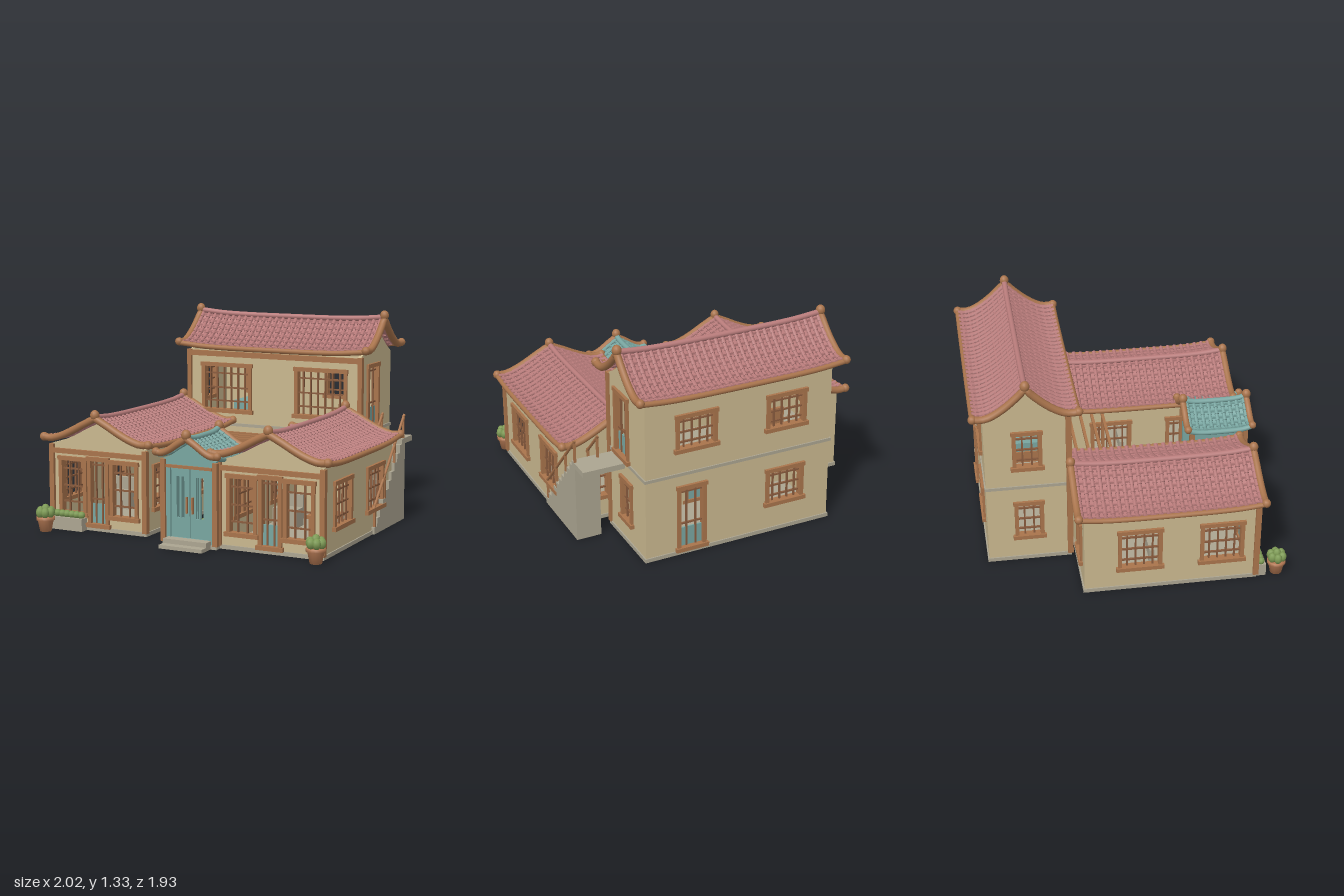
import * as THREE from 'three';
import { mergeGeometries } from 'three/addons/utils/BufferGeometryUtils.js';

const mat = (name, color, side = THREE.FrontSide) => {
  const m = new THREE.MeshStandardMaterial({ color, side });
  m.name = name;
  return m;
};
const M = {
  plaster: mat('plaster', 0xcab88f), wood: mat('wood', 0xa9744c), darkWood: mat('dark wood', 0x8a5c3e),
  tile: mat('rose tile', 0xb97c7b, THREE.DoubleSide), teal: mat('teal tile', 0x79a6a1, THREE.DoubleSide),
  stone: mat('stone', 0xaca591), lawn: mat('lawn', 0x8f9c57), leaf: mat('leaf', 0x7d9a54),
  clay: mat('clay', 0xb67a54),
};
const PI = Math.PI, T = 0.025;

function add(parent, name, geo, material, x = 0, y = 0, z = 0) {
  const m = new THREE.Mesh(geo, material);
  m.name = name;
  m.position.set(x, y, z);
  parent.add(m);
  return m;
}
// Box given by its minimum and maximum on each axis
const box = (p, name, material, x0, x1, y0, y1, z0, z1) =>
  add(p, name, new THREE.BoxGeometry(x1 - x0, y1 - y0, z1 - z0), material, (x0 + x1) / 2, (y0 + y1) / 2, (z0 + z1) / 2);
const group = (p, name) => {
  const g = new THREE.Group();
  g.name = name;
  p.add(g);
  return g;
};

// Framed opening with lattice; a door also gets a lower panel
function joinery(p, o) {
  const g = group(p, o.door ? 'door' : 'window');
  const { u, w, y0, y1 } = o, a = u - w / 2, b = u + w / 2, f = 0.018;
  box(g, 'jamb', M.wood, a - 0.006, a + f, y0, y1, -T - 0.005, 0.014);
  box(g, 'jamb', M.wood, b - f, b + 0.006, y0, y1, -T - 0.005, 0.014);
  box(g, 'lintel', M.wood, a - 0.012, b + 0.012, y1 - f, y1 + 0.008, -T - 0.005, 0.018);
  box(g, 'sill', M.wood, a - 0.018, b + 0.018, y0 - 0.008, y0 + f, -T - 0.005, 0.024);
  const n = Math.max(3, Math.round(w / 0.055));
  for (let i = 1; i < n; i++) {
    const x = a + (w * i) / n;
    box(g, 'bar', M.darkWood, x - 0.005, x + 0.005, y0, y1, -0.016, -0.004);
  }
  for (const k of o.door ? [0.4, 0.9] : [0.22, 0.5, 0.8]) {
    const y = y0 + (y1 - y0) * k;
    box(g, 'rail', M.darkWood, a, b, y - 0.005, y + 0.005, -0.018, -0.006);
  }
  if (o.door) box(g, 'panel', M.teal, a + f, b - f, y0 + f, y0 + (y1 - y0) * 0.33, -0.02, -0.01);
}

// Wall facing local +z, with holes and an optional gable top
function wall(p, name, w, h, material, openings, profile) {
  const g = group(p, name), s = new THREE.Shape();
  s.moveTo(-w / 2, 0).lineTo(w / 2, 0).lineTo(w / 2, h);
  if (profile) {
    const inner = profile.filter(([d]) => d < w / 2 - 0.02);
    [...inner].reverse().forEach(([d, y]) => s.lineTo(d, y - 0.012));
    inner.slice(1).forEach(([d, y]) => s.lineTo(-d, y - 0.012));
  }
  s.lineTo(-w / 2, h);
  for (const o of openings) {
    const a = o.u - o.w / 2, b = o.u + o.w / 2;
    s.holes.push(new THREE.Path().moveTo(a, o.y0).lineTo(a, o.y1).lineTo(b, o.y1).lineTo(b, o.y0).closePath());
    if (!o.plain) joinery(g, o);
  }
  const geo = new THREE.ExtrudeGeometry(s, { depth: T, bevelEnabled: false });
  add(g, 'wallPanel', geo.translate(0, 0, -T), material);
  return g;
}

// Four walls and a plinth; openings are listed at world positions
function building(root, name, [x0, x1, z0, z1, h], material, profile, gableX, open) {
  const g = group(root, name), cx = (x0 + x1) / 2, cz = (z0 + z1) / 2, W = x1 - x0, D = z1 - z0;
  const put = (side, w, x, z, r, sign, c, gable) => {
    const list = (open[side] || []).map((o) => ({ ...o, u: sign * (o.at - c) }));
    const m = wall(g, side + 'Wall', w, h, material, list, gable && profile);
    m.position.set(x, 0, z);
    m.rotation.y = r;
  };
  put('front', W, cx, z1, 0, 1, cx, !gableX);
  put('back', W, cx, z0, PI, -1, cx, !gableX);
  put('left', D - 2 * T * !gableX, x1, cz, PI / 2, -1, cz, gableX);
  put('right', D - 2 * T * !gableX, x0, cz, -PI / 2, 1, cz, gableX);
  box(g, 'plinth', M.stone, x0 - 0.008, x1 + 0.008, 0, 0.025, z0 - 0.008, z1 + 0.008);
  return g;
}

// Curved tiled roof, ridge along local z
function roof(root, name, cx, cz, len, profile, material, eaveMat, rake = 0.023) {
  const g = group(root, name);
  g.position.set(cx, 0, cz);
  const curve = new THREE.CatmullRomCurve3(profile.map(([d, y]) => new THREE.Vector3(d, y, 0)));
  const L = len / 2, at = (s, z) => {
    const p = curve.getPointAt(Math.min(1, Math.abs(s)));
    return new THREE.Vector3(Math.sign(s) * p.x, p.y + 0.022 * Math.abs(z / L) ** 4, z);
  };
  const sheet = new THREE.PlaneGeometry(2, len, 24, 16), P = sheet.attributes.position;
  for (let i = 0; i < P.count; i++) {
    const v = at(P.getX(i), -P.getY(i));
    P.setXYZ(i, v.x, v.y, v.z);
  }
  sheet.computeVertexNormals();
  add(g, 'roofSheet', sheet, material);
  // Overlapping cover tiles in staggered courses, with lips on the pans between
  const up = new THREE.Vector3(0, 1, 0), parts = [], n = Math.round(len / 0.047), step = len / n;
  const courses = Math.max(4, Math.round(curve.getLength() / 0.05));
  for (const side of [-1, 1]) for (let i = 0; i < n; i++) {
    const z = -L + (i + 0.5) * step;
    for (let c = 0; c < courses; c++) {
      const a = at((side * (c + 0.01)) / courses, z), b = at((side * (c + 1)) / courses, z);
      const dir = a.clone().sub(b), l = dir.length();
      const q = new THREE.Quaternion().setFromUnitVectors(up, dir.normalize());
      const mid = a.add(b).multiplyScalar(0.5);
      parts.push(new THREE.CylinderGeometry(0.012, 0.0155, l, 7).applyQuaternion(q).translate(mid.x, mid.y + 0.003, z));
      const lip = at((side * (c + 0.5)) / courses, z + step / 2);
      if (i < n - 1) parts.push(new THREE.BoxGeometry(0.012, 0.014, step * 0.6).translate(lip.x, lip.y + 0.004, lip.z));
    }
  }
  add(g, 'roofTiles', mergeGeometries(parts), material);
  const tube = (nm, pts, r, m) => add(g, nm, new THREE.TubeGeometry(new THREE.CatmullRomCurve3(pts), 24, r, 10), m);
  const along = (s, dy) => Array.from({ length: 9 }, (_, i) => at(s, -L + (len * i) / 8).add(new THREE.Vector3(0, dy, 0)));
  tube('ridge', along(0, 0.012), 0.018, material);
  for (const s of [-1, 1]) {
    tube('eave', along(s, -0.008), 0.017, eaveMat);
    const pts = Array.from({ length: 17 }, (_, i) => at(i / 8 - 1, s * L));
    tube('rake', pts, rake, M.wood);
    for (const e of [-1, 1]) {
      const t = at(e, s * L);
      add(g, 'rakeEnd', new THREE.SphereGeometry(rake * 1.2, 12, 8), M.wood, t.x, t.y, t.z);
    }
    const t = at(0, s * L);
    add(g, 'finial', new THREE.SphereGeometry(0.029, 14, 10).scale(1, 1.15, 1), M.wood, 0, t.y + 0.022, t.z);
  }
  return g;
}

function plant(root, x, z) {
  const g = group(root, 'pottedPlant');
  g.position.set(x, 0, z);
  const pts = [[0, 0], [0.036, 0], [0.05, 0.07], [0.058, 0.07], [0.058, 0.09], [0.045, 0.09], [0, 0.082]];
  add(g, 'pot', new THREE.LatheGeometry(pts.map((p) => new THREE.Vector2(...p)), 16), M.clay);
  for (let i = 0; i < 7; i++) {
    const a = (i * PI) / 3, r = i < 6 ? 0.037 : 0;
    add(g, 'leaves', new THREE.SphereGeometry(0.027, 8, 6).scale(1, 1.25, 1), M.leaf, r * Math.cos(a), i < 6 ? 0.12 : 0.138, r * Math.sin(a));
  }
}

export function createModel() {
  const root = new THREE.Group();
  root.name = 'courtyardHouse';
  const win = (at, w, y0 = 0.15, y1 = 0.43) => ({ at, w, y0, y1 });
  const door = (at, w, y0 = 0.03, y1 = 0.46) => ({ at, w, y0, y1, door: true });
  const wingP = [[0, 0.69], [0.08, 0.653], [0.17, 0.605], [0.26, 0.566], [0.33, 0.55], [0.375, 0.555]];
  const hallP = [[0, 1.25], [0.05, 1.2], [0.11, 1.145], [0.18, 1.095], [0.25, 1.065], [0.315, 1.07]];
  const gateP = [[0, 0.635], [0.06, 0.6], [0.12, 0.56], [0.17, 0.54], [0.205, 0.545]];

  // Two side wings
  for (const [name, cx, z0, z1] of [['rightWing', -0.605, -0.33, 0.73], ['leftWing', 0.605, -0.28, 0.79]]) {
    const side = [win(0.515, 0.26), win(0.01, 0.26)], x0 = cx - 0.335, x1 = cx + 0.335;
    const g = building(root, name, [x0, x1, z0, z1, 0.535], M.plaster, wingP, false, {
      front: [win(cx - 0.185, 0.19, 0.09, 0.45), door(cx, 0.14), win(cx + 0.185, 0.19, 0.09, 0.45)],
      back: [win(cx - Math.sign(-cx) * 0.15, 0.18)], left: side, right: side,
    });
    for (const x of [x0, x1]) box(g, 'cornerPost', M.wood, x - 0.016, x + 0.016, 0.02, 0.53, z1 - 0.015, z1 + 0.02);
    box(g, 'frontBeam', M.wood, x0, x1, 0.475, 0.505, z1 - 0.01, z1 + 0.018);
    roof(root, name + 'Roof', cx, (z0 + z1) / 2, z1 - z0 + 0.07, wingP, M.tile, M.wood);
    box(g, 'bench', M.stone, cx - 0.27, cx - 0.1, 0.025, 0.14, 0.1, 0.2);
    box(g, 'benchBack', M.stone, cx - 0.27, cx - 0.1, 0.14, 0.22, 0.08, 0.11);
    box(g, 'table', M.wood, cx + 0.05, cx + 0.22, 0.14, 0.16, 0.2, 0.4);
    for (const x of [0.07, 0.2]) for (const z of [0.22, 0.38])
      box(g, 'tableLeg', M.wood, cx + x - 0.008, cx + x + 0.008, 0.025, 0.14, z - 0.008, z + 0.008);
  }

  // Two-storey hall
  const hall = building(root, 'hall', [-0.55, 0.69, -0.88, -0.37, 1.04], M.plaster, hallP, true, {
    front: [win(-0.275, 0.36, 0.63, 0.95), win(0.41, 0.36, 0.63, 0.95), win(-0.17, 0.17, 0.2), door(0.1, 0.18)],
    back: [win(0.36, 0.26, 0.7, 0.93), win(-0.24, 0.26, 0.7, 0.93), win(-0.24, 0.25, 0.19), door(0.39, 0.18)],
    left: [door(-0.56, 0.19, 0.56, 0.98), win(-0.62, 0.15)],
    right: [win(-0.62, 0.17, 0.68, 0.94), win(-0.62, 0.17, 0.17)],
  });
  box(hall, 'floorBand', M.stone, -0.558, 0.698, 0.535, 0.555, -0.888, -0.362);
  for (const x of [-0.55, 0.69]) box(hall, 'cornerPost', M.wood, x - 0.018, x + 0.012, 0.02, 1.04, -0.385, -0.35);
  box(hall, 'frontBeam', M.wood, -0.55, 0.69, 1.0, 1.035, -0.38, -0.35);
  box(hall, 'bed', M.teal, -0.29, -0.08, 0.63, 0.69, -0.72, -0.5);
  box(hall, 'bedBase', M.wood, -0.3, -0.07, 0.555, 0.63, -0.73, -0.49);
  box(hall, 'bedHead', M.wood, -0.3, -0.07, 0.63, 0.76, -0.75, -0.73);
  roof(root, 'hallRoof', 0.068, -0.625, 1.35, hallP, M.tile, M.wood).rotation.y = PI / 2;

  // Entrance gate with double doors and steps
  const gate = building(root, 'gate', [-0.08, 0.27, 0.49, 0.84, 0.525], M.teal, gateP, false, {
    front: [{ at: 0.095, w: 0.26, y0: 0.05, y1: 0.47, plain: true }],
    back: [{ at: 0.095, w: 0.24, y0: 0.03, y1: 0.45, plain: true }],
  });
  for (const x of [-0.08, 0.27]) for (const z of [0.49, 0.84])
    box(gate, 'gatePost', M.wood, x - 0.016, x + 0.016, 0.02, 0.52, z - 0.016, z + 0.016);
  for (const s of [-1, 1]) {
    const leaf = group(gate, 'gateLeaf'), a = 0.095 + s * 0.065;
    box(leaf, 'lowerPanel', M.teal, a - 0.062, a + 0.062, 0.05, 0.17, 0.818, 0.832);
    box(leaf, 'topRail', M.teal, a - 0.062, a + 0.062, 0.42, 0.47, 0.818, 0.832);
    for (const [x, w] of [[-0.044, 0.018], [0.044, 0.018], [0, 0.006]])
      box(leaf, 'stile', M.teal, a + x - w, a + x + w, 0.17, 0.42, 0.818, 0.832);
    box(leaf, 'handle', M.wood, 0.095 + s * 0.02 - 0.005, 0.095 + s * 0.02 + 0.005, 0.2, 0.3, 0.832, 0.846);
  }
  box(gate, 'gateLintel', M.wood, -0.06, 0.25, 0.472, 0.49, 0.835, 0.852);
  box(gate, 'upperStep', M.stone, -0.05, 0.24, 0, 0.05, 0.84, 0.905);
  box(gate, 'lowerStep', M.stone, -0.05, 0.24, 0, 0.022, 0.905, 0.96);
  roof(root, 'gateRoof', 0.095, 0.668, 0.42, gateP, M.teal, M.teal, 0.021);

  // Outside stair, landing and sloping handrails
  const stair = group(root, 'outsideStair');
  for (let i = 0; i < 10; i++) {
    const z = 0.05 - i * 0.047;
    box(stair, 'step', M.stone, 0.8, 0.96, 0, 0.045 + i * 0.05, z - (i === 9 ? 0.088 : 0.047), z);
  }
  box(stair, 'landing', M.stone, 0.69, 0.96, 0.495, 0.53, -0.59, -0.41);
  for (const x of [0.805, 0.952]) {
    const a = new THREE.Vector3(x, 0.16, 0.045), b = new THREE.Vector3(x, 0.68, -0.46);
    add(stair, 'handrail', new THREE.TubeGeometry(new THREE.LineCurve3(a, b), 1, 0.009, 8), M.wood);
    for (const t of [0.03, 0.35, 0.67, 0.97]) {
      const p = a.clone().lerp(b, t);
      box(stair, 'railPost', M.wood, x - 0.007, x + 0.007, p.y - 0.15, p.y + 0.01, p.z - 0.007, p.z + 0.007);
    }
  }

  // Courtyard: lawn, stepping stones, pergola, table and chair
  const yard = group(root, 'courtyard');
  box(yard, 'lawn', M.lawn, -0.18, 0.03, 0, 0.012, -0.35, 0.24);
  for (const z of [0.015, 0.135, 0.255, 0.375]) box(yard, 'steppingStone', M.stone, 0.06, 0.185, 0, 0.014, z - 0.04, z + 0.04);
  for (const z of [-0.27, -0.195, -0.12, -0.05]) box(yard, 'pergolaBeam', M.wood, -0.27, 0.27, 0.495, 0.515, z - 0.009, z + 0.009);
  for (const x of [-0.215, 0.225]) box(yard, 'pergolaPost', M.wood, x - 0.01, x + 0.01, 0, 0.5, -0.06, -0.04);
  box(yard, 'tableTop', M.wood, -0.2, 0, 0.19, 0.21, -0.04, 0.095);
  for (const x of [-0.185, -0.015]) for (const z of [-0.025, 0.08])
    box(yard, 'tableLeg', M.darkWood, x - 0.009, x + 0.009, 0, 0.19, z - 0.009, z + 0.009);
  for (const x of [-0.15, -0.05])
    add(yard, 'bowl', new THREE.CylinderGeometry(0.027, 0.016, 0.025, 14), M.stone, x, 0.222, 0.025);
  box(yard, 'chairSeat', M.wood, -0.14, -0.06, 0.115, 0.13, -0.14, -0.06);
  box(yard, 'chairBack', M.wood, -0.14, -0.06, 0.13, 0.25, -0.15, -0.138);
  for (const x of [-0.132, -0.068]) for (const z of [-0.132, -0.068])
    box(yard, 'chairLeg', M.wood, x - 0.007, x + 0.007, 0, 0.115, z - 0.007, z + 0.007);

  // Front plants
  plant(root, -0.91, 0.87);
  plant(root, 0.93, 0.87);
  const planter = group(root, 'planter');
  box(planter, 'trough', M.stone, -0.94, -0.69, 0, 0.08, 0.74, 0.8);
  for (let i = 0; i < 7; i++)
    add(planter, 'shrub', new THREE.SphereGeometry(0.024, 8, 6), M.leaf, -0.92 + i * 0.035, 0.098, 0.77);
  return root;
}
